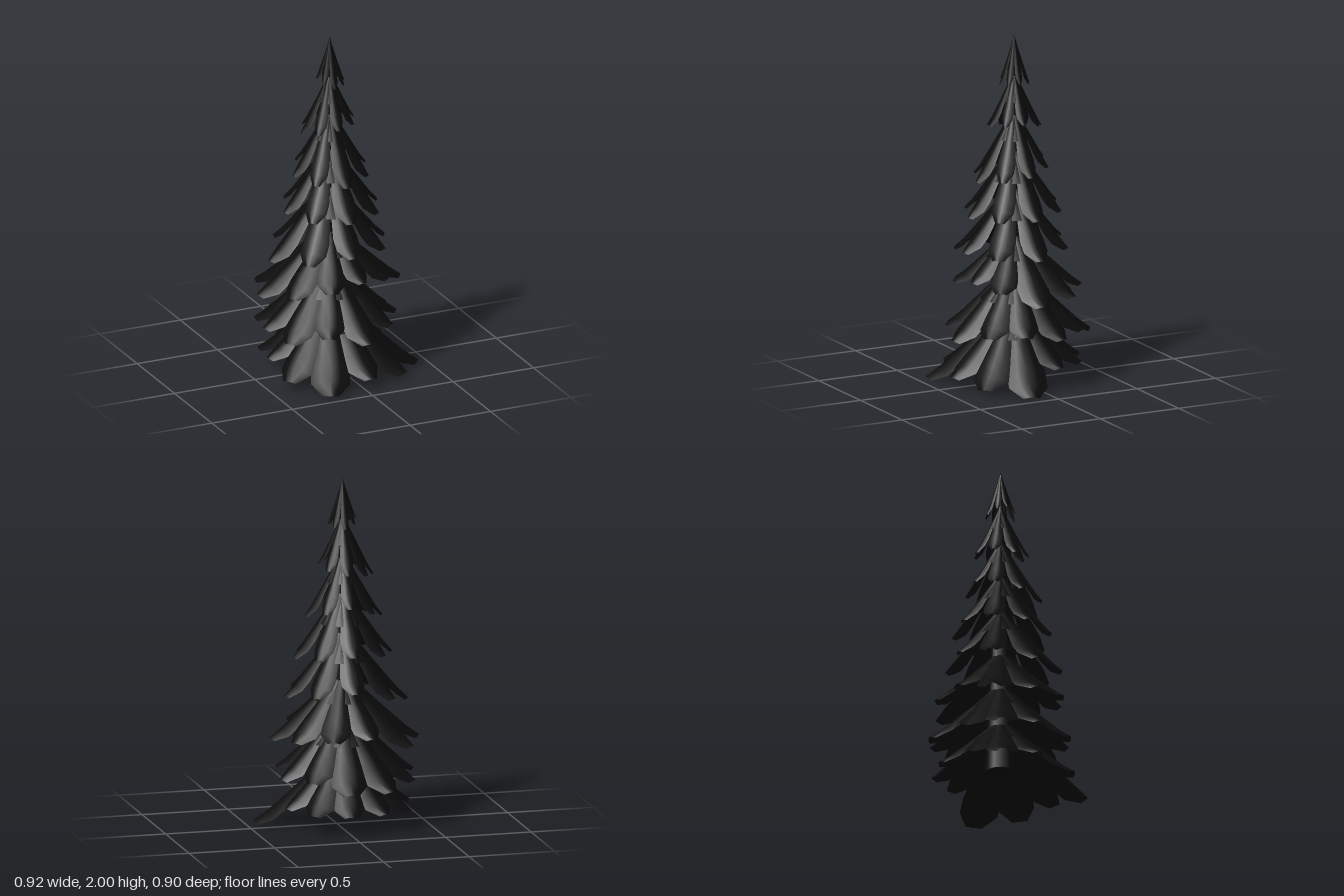
import * as THREE from 'three';
import { mergeVertices } from 'three/addons/utils/BufferGeometryUtils.js';

const CENTRE_X = -0.035;
const material = new THREE.MeshStandardMaterial({ color: 0x0c0c0c, side: THREE.DoubleSide });

// Tiers from the top down: height at the trunk, slope, number of boughs, first bough's
// angle in degrees (+x towards +z), and reaches spread evenly round the ring
const tiers = [
  { y: 2.0, slope: 3.15, count: 8, start: 4, reach: [0.085, 0.09, 0.075, 0.09] },
  { y: 1.8, slope: 2.1, count: 8, start: 4, reach: [0.14, 0.15, 0.172, 0.16] },
  { y: 1.59, slope: 1.75, count: 8, start: 0, reach: [0.215, 0.24, 0.225, 0.18] },
  { y: 1.39, slope: 1.45, count: 8, start: 0, reach: [0.285, 0.29, 0.28, 0.26] },
  { y: 1.17, slope: 1.25, count: 8, start: 0, reach: [0.33, 0.32, 0.37, 0.29] },
  { y: 0.9, slope: 0.95, count: 10, start: 5, reach: [0.41, 0.34, 0.31, 0.34, 0.38, 0.425, 0.43, 0.36, 0.37, 0.39] },
  { y: 0.7, slope: 1.0, count: 11, start: 17, reach: [0.37, 0.38, 0.42, 0.38, 0.42, 0.4, 0.42, 0.44, 0.44, 0.39, 0.4] },
  { y: 0.48, slope: 0.95, count: 11, start: 16, reach: [0.49, 0.46, 0.43, 0.485, 0.44, 0.38, 0.4, 0.38, 0.38, 0.38, 0.37] },
];

// Reach of bough i, blended between the tier's listed reaches
function reachOf({ reach, count }, i) {
  const f = (i / count) * reach.length;
  const k = Math.floor(f + 1e-6);
  return THREE.MathUtils.lerp(reach[k], reach[(k + 1) % reach.length], Math.max(0, f - k));
}

// Bough outline: [fraction of reach, fraction of half width]
const outline = [[0, 0], [0.2, 0.36], [0.45, 0.68], [0.72, 1], [0.86, 0.98], [1, 0.42]];
const across = [-1, -0.5, 0, 0.5, 1];

// One drooping bough: a tapering plate, arched across its width, with a blunt tip
function boughGeometry(reach, slope) {
  const half = reach * 0.23;
  const len = Math.hypot(1, slope);
  const n = across.length;
  const pos = [], idx = [];
  outline.forEach(([t, w], i) => {
    across.forEach((s, j) => {
      const drop = 0.42 * half * s * s * w;
      const tip = i === outline.length - 1 ? 0.03 * reach * (1 - Math.abs(s)) : 0;
      pos.push(
        reach * t + tip - drop * slope / len,
        -slope * reach * Math.pow(t, 0.94) - drop / len,
        s * w * half,
      );
      if (i > 0 && j > 0) {
        const a = (i - 1) * n + j - 1, b = a + 1, c = a + n, d = c + 1;
        idx.push(a, b, c, b, d, c);
      }
    });
  });
  const geo = new THREE.BufferGeometry();
  geo.setAttribute('position', new THREE.Float32BufferAttribute(pos, 3));
  geo.setIndex(idx);
  const merged = mergeVertices(geo);
  merged.computeVertexNormals();
  return merged;
}

export function createModel() {
  const tree = new THREE.Group();
  tree.name = 'coniferTree';

  // Tapered trunk running up inside the tiers
  const trunk = new THREE.Mesh(new THREE.CylinderGeometry(0.012, 0.09, 1.7, 12), material);
  trunk.name = 'trunk';
  trunk.position.set(CENTRE_X, 0.98, 0);
  tree.add(trunk);

  // Rings of overlapping boughs
  tiers.forEach((tier, t) => {
    const { y, slope, count, start, reach } = tier;
    const ring = new THREE.Group();
    ring.name = `boughTier${t + 1}`;
    ring.position.set(CENTRE_X, y, 0);
    for (let i = 0; i < count; i++) {
      const bough = new THREE.Mesh(boughGeometry(reachOf(tier, i), slope), material);
      bough.name = 'bough';
      bough.rotation.y = -THREE.MathUtils.degToRad(start + (i * 360) / count);
      ring.add(bough);
    }

    // Skirt that fills the gaps between the bough roots
    const r = 0.55 * Math.min(...reach);
    const skirt = new THREE.Mesh(new THREE.ConeGeometry(r, r * slope, 16, 1, true), material);
    skirt.name = 'tierSkirt';
    skirt.position.y = -r * slope / 2 - 0.015;
    ring.add(skirt);
    tree.add(ring);
  });

  return tree;
}
